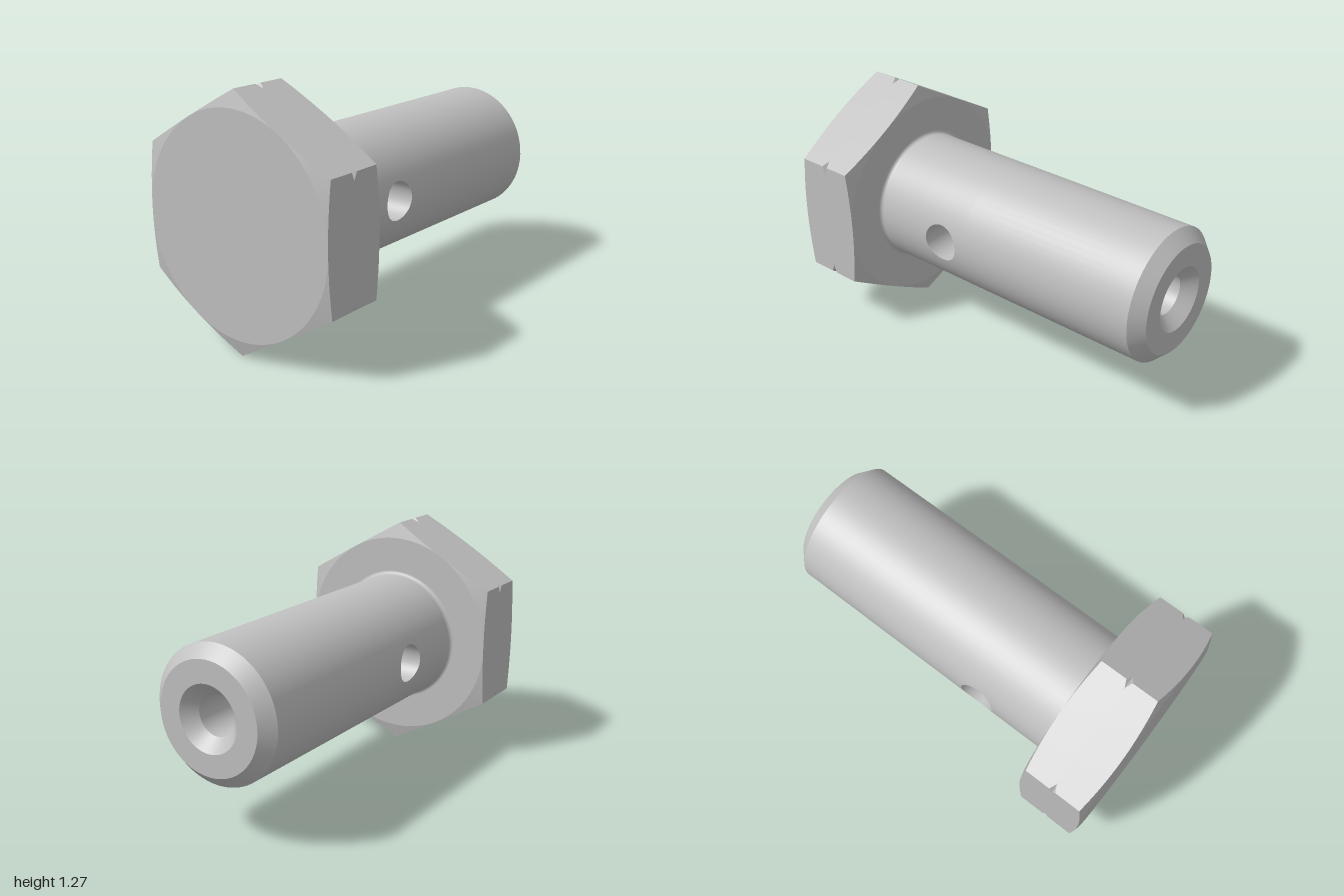
import * as THREE from 'three';

const AXIS_Y = 0.634;              // height of the bolt axis
const HEX_A = 0.549;               // hexagon apothem
const SHANK_R = 0.345, BORE_R = 0.103;
const HOLE_X = -0.215, HOLE_R = 0.1, BAND = 0.15;
const SEG = 64;

const steel = new THREE.MeshStandardMaterial({ color: 0xc0c0c0 });
steel.name = 'steel';

// Grid surface from point(i, j); front side faces (j direction) x (i direction)
function grid(ni, nj, point, normal, flip = false) {
  const pos = [], index = [];
  for (let i = 0; i <= ni; i++) for (let j = 0; j <= nj; j++) pos.push(...point(i, j));
  for (let i = 0; i < ni; i++) {
    for (let j = 0; j < nj; j++) {
      const a = i * (nj + 1) + j, b = a + 1, d = a + nj + 1, c = d + 1;
      if (flip) index.push(a, c, b, a, d, c);
      else index.push(a, b, c, a, c, d);
    }
  }
  let geo = new THREE.BufferGeometry();
  geo.setAttribute('position', new THREE.Float32BufferAttribute(pos, 3));
  geo.setIndex(index);
  if (normal) {
    const n = [];
    for (let k = 0; k < pos.length; k += 3) n.push(...normal(pos[k], pos[k + 1], pos[k + 2]));
    geo.setAttribute('normal', new THREE.Float32BufferAttribute(n, 3));
  } else {
    geo = geo.toNonIndexed();
    geo.computeVertexNormals();
  }
  return geo;
}

// Hexagonal head: chamfered on both ends, small V groove nicking the six corners
function headGeometry() {
  const x0 = -1, x1 = -0.645, xn = -0.822, grooveR = 0.615;
  const step = Math.PI / 180;
  return grid(360, 8, (i, j) => {
    const local = ((i % 60) - 30) * step;
    const r = HEX_A / Math.cos(local);
    const drop = 0.27 * (r - HEX_A);
    const w = Math.max(0, r - grooveR) * 0.9;
    const [x, rad] = [
      [x0, 0], [x0, HEX_A], [x0 + drop, r], [xn - w, r], [xn, Math.min(r, grooveR)],
      [xn + w, r], [x1 - drop, r], [x1, HEX_A], [x1, 0.36],
    ][j];
    return [x, rad * Math.cos(i * step), -rad * Math.sin(i * step)];
  });
}

// Half of a cylinder band with the cross hole cut through its middle
function holedBand(R, inward) {
  const side = SEG / 2, n = side * 4, s = inward ? -1 : 1;
  return grid(n, 12, (i, j) => {
    const t = -Math.PI / 4 + (i / n) * Math.PI * 2;
    const u = ((i % side) / side) * 2 - 1;
    const [ex, ey] = [[1, u], [-u, 1], [-1, -u], [u, -1]][Math.floor(i / side) % 4];
    const f = j / 12;
    const x = THREE.MathUtils.lerp(HOLE_R * Math.cos(t), BAND * ex, f);
    const th = THREE.MathUtils.lerp(Math.asin(HOLE_R * Math.sin(t) / R), ey * Math.PI / 2, f);
    return [HOLE_X + x, R * Math.sin(th), R * Math.cos(th)];
  }, (x, y, z) => [0, s * y / R, s * z / R], inward);
}

// Wall of the cross hole between the bore and the shank surface
function holeWall() {
  return grid(128, 1, (i, j) => {
    const t = (i / 128) * Math.PI * 2, y = HOLE_R * Math.sin(t), R = j ? SHANK_R : BORE_R;
    return [HOLE_X + HOLE_R * Math.cos(t), y, Math.sqrt(R * R - y * y)];
  }, (x, y) => [(HOLE_X - x) / HOLE_R, -y / HOLE_R, 0]);
}

// Surface of revolution around x from [radius, x] pairs
function revolve(points) {
  return new THREE.LatheGeometry(points.map(([r, x]) => new THREE.Vector2(r, x)), SEG)
    .rotateZ(-Math.PI / 2);
}

export function createModel() {
  const model = new THREE.Group();
  model.name = 'hollowBolt';
  const add = (name, geo) => {
    const mesh = new THREE.Mesh(geo, steel);
    mesh.name = name;
    mesh.position.y = AXIS_Y;
    model.add(mesh);
    return mesh;
  };

  add('hexHead', headGeometry());

  // Fillet under the head
  const fillet = [];
  for (let k = 0; k <= 6; k++) {
    const a = (k / 6) * Math.PI / 2;
    fillet.push([0.365 - 0.02 * Math.sin(a), -0.625 - 0.02 * Math.cos(a)]);
  }
  add('headFillet', revolve(fillet));

  // Shank, tip and stepped bore, one piece per sharp edge
  const left = HOLE_X - BAND, right = HOLE_X + BAND;
  add('shankNearHead', revolve([[SHANK_R, -0.625], [SHANK_R, left]]));
  add('shank', revolve([[SHANK_R, right], [SHANK_R, 0.936]]));
  add('tipChamfer', revolve([[SHANK_R, 0.936], [0.281, 1]]));
  add('tipFace', revolve([[0.281, 1], [0.167, 1]]));
  add('countersink', revolve([[0.167, 1], [BORE_R, 0.936]]));
  add('bore', revolve([[BORE_R, 0.936], [BORE_R, right]]));
  add('boreEnd', revolve([[BORE_R, left], [BORE_R, left - 0.01]]));
  add('boreTip', revolve([[BORE_R, left - 0.01], [0, left - 0.07]]));

  // Cross hole, front and back
  for (const [label, turn] of [['Front', 0], ['Back', Math.PI]]) {
    add('shankBand' + label, holedBand(SHANK_R, false)).rotation.x = turn;
    add('boreBand' + label, holedBand(BORE_R, true)).rotation.x = turn;
    add('crossHole' + label, holeWall()).rotation.x = turn;
  }
  return model;
}
